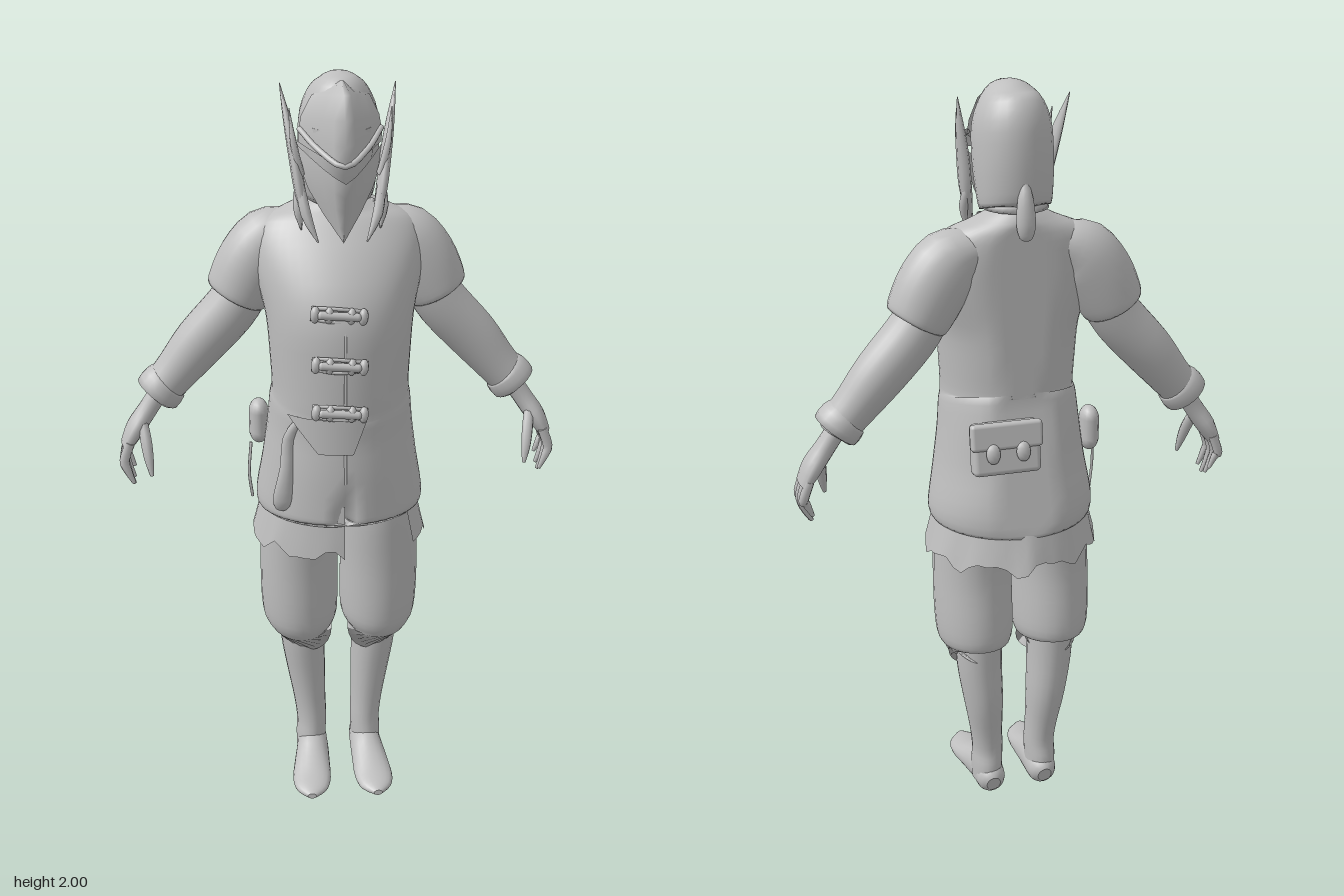
import * as THREE from 'three';
import { RoundedBoxGeometry } from 'three/addons/geometries/RoundedBoxGeometry.js';

const Z = new THREE.Vector3(0, 0, 1), Y = new THREE.Vector3(0, 1, 0);
const V = (x, y, z) => new THREE.Vector3(x, y, z);

// Smooth in-between sections: each is [x, y, z, radiusU, radiusV]
function refine(list, k) {
  const out = [], at = i => list[Math.min(list.length - 1, Math.max(0, i))];
  for (let i = 0; i < list.length - 1; i++) for (let s = 0; s < k; s++) {
    const t = s / k;
    out.push(list[i].map((b, c) => {
      const a = at(i - 1)[c], d = at(i + 1)[c], e = at(i + 2)[c];
      return 0.5 * (2 * b + (d - a) * t + (2 * a - 5 * b + 4 * d - e) * t * t + (3 * b - a - 3 * d + e) * t ** 3);
    }));
  }
  out.push(list[list.length - 1]);
  return out;
}

// Closed skin over elliptical sections that stand square to their path
function loft(list, { n = 20, k = 3, ref = Z, warp } = {}) {
  const secs = refine(list, k), pos = [], idx = [], m = secs.length;
  const centre = secs.map(s => V(s[0], s[1], s[2]));
  secs.forEach((s, i) => {
    const t = centre[Math.min(i + 1, m - 1)].clone().sub(centre[Math.max(i - 1, 0)]).normalize();
    const u = t.clone().cross(ref).normalize(), v = u.clone().cross(t);
    for (let j = 0; j < n; j++) {
      const a = j / n * Math.PI * 2;
      const p = centre[i].clone().addScaledVector(u, Math.cos(a) * Math.max(s[3], 0.001))
        .addScaledVector(v, Math.sin(a) * Math.max(s[4], 0.001));
      if (warp) warp(p);
      pos.push(p.x, p.y, p.z);
      const b = i * n + (j + 1) % n, q = i * n + j;
      if (i < m - 1) idx.push(q, q + n, b, b, q + n, b + n);
    }
  });
  // End caps
  for (const i of [0, m - 1]) {
    const base = pos.length / 3;
    for (let j = 0; j < n; j++) pos.push(...pos.slice((i * n + j) * 3, (i * n + j) * 3 + 3));
    pos.push(centre[i].x, centre[i].y, centre[i].z);
    for (let j = 0; j < n; j++) {
      const a = base + j, b = base + (j + 1) % n;
      idx.push(...(i ? [a, base + n, b] : [a, b, base + n]));
    }
  }
  const g = new THREE.BufferGeometry();
  g.setAttribute('position', new THREE.Float32BufferAttribute(pos, 3));
  g.setIndex(idx);
  g.computeVertexNormals();
  return g;
}

// Ridged plate from rows of [edgeY, ridgeY, halfWidth, edgeZ, ridgeZ]
function ridged(rows) {
  const g = new THREE.PlaneGeometry(2, 1, 8, rows.length - 1), p = g.attributes.position;
  for (let i = 0; i < p.count; i++) {
    const [ye, yr, w, ze, zr] = rows[Math.floor(i / 9)], f = p.getX(i), e = Math.abs(f) ** 1.25;
    p.setXYZ(i, f * w, yr + (ye - yr) * e, zr + (ze - zr) * e);
  }
  g.computeVertexNormals();
  return g;
}

export function createModel() {
  const root = new THREE.Group();
  const grey = new THREE.MeshStandardMaterial({ color: 0xbfbfbf, side: THREE.DoubleSide });
  grey.name = 'plain grey';
  const add = (name, geo, parent = root) => {
    const mesh = new THREE.Mesh(geo, grey);
    mesh.name = name;
    parent.add(mesh);
    return mesh;
  };
  const tube = (pts, r, seg = 16) => new THREE.TubeGeometry(new THREE.CatmullRomCurve3(pts.map(p => V(...p))), seg, r, 8);

  // Coat, flat behind, with a narrow front slit at the hem
  add('coat', loft([
    [0, 0.87, 0.005, 0.2, 0.17], [0, 0.86, 0.005, 0.218, 0.19], [0, 0.9, 0.005, 0.223, 0.195],
    [0, 1.0, 0.015, 0.206, 0.185], [0, 1.1, 0.02, 0.192, 0.175], [0, 1.18, 0.03, 0.184, 0.168],
    [0, 1.21, 0.035, 0.178, 0.161], [0, 1.3, 0.033, 0.182, 0.163], [0, 1.4, 0.027, 0.19, 0.162],
    [0, 1.5, 0, 0.212, 0.138], [0, 1.58, -0.026, 0.215, 0.11], [0, 1.635, -0.042, 0.185, 0.088],
    [0, 1.67, -0.045, 0.11, 0.075], [0, 1.69, -0.045, 0.07, 0.062]], {
    n: 48, warp: p => {
      if (p.z < 0) p.z = Math.max(p.z * 1.05, -0.125 - Math.max(0, 1.2 - p.y) * 0.2);
      if (p.z > 0 && Math.abs(p.x) < 0.01 && p.y < 0.98) p.z -= (0.98 - p.y) * 0.4;
    } }));
  add('collar', tube([[-0.085, 1.675, -0.02], [-0.045, 1.63, 0.05], [0, 1.585, 0.087], [0.045, 1.63, 0.05], [0.085, 1.675, -0.02]], 0.009));
  add('frontSeam', tube([[0, 1.58, 0.084], [0, 1.5, 0.136], [0, 1.4, 0.188], [0, 1.3, 0.195], [0, 1.1, 0.194], [0, 0.99, 0.198]], 0.004));

  // Ragged undershirt hem, open at the front left
  const skirt = new THREE.CylinderGeometry(1, 1, 1, 48, 3, true, 0.95, Math.PI * 2 - 0.95);
  const sp = skirt.attributes.position;
  for (let i = 0; i < sp.count; i++) {
    const x = sp.getX(i), z = sp.getZ(i), f = 0.5 - sp.getY(i), a = Math.atan2(x, z);
    const drop = 0.145 + 0.014 * Math.sin(a * 9) + 0.008 * Math.sin(a * 17 + 1);
    const tail = Math.max(0, 1 - Math.abs(x - 0.09) * 5) * (z < 0 ? 0.018 : 0);
    sp.setXYZ(i, x * (0.2 + 0.035 * f), 0.915 - f * drop, z * (z > 0 ? 0.18 + 0.01 * f : 0.175 + f * (0.035 + tail)));
  }
  skirt.computeVertexNormals();
  add('shirtHem', skirt);

  // Limbs: the left side is built, the right is its mirror image
  for (const side of [1, -1]) {
    const half = new THREE.Group();
    half.name = side > 0 ? 'leftLimbs' : 'rightLimbs';
    half.scale.x = side;
    root.add(half);
    const z = -0.055;
    add('shortSleeve', loft([[0.11, 1.6, z, 0.055, 0.06], [0.17, 1.572, z, 0.085, 0.08], [0.215, 1.515, z, 0.092, 0.086],
      [0.25, 1.45, z, 0.087, 0.085], [0.264, 1.425, z, 0.078, 0.08], [0.262, 1.428, z, 0.06, 0.06]], { n: 24 }), half);
    add('longSleeve', loft([[0.235, 1.45, z, 0.066, 0.072], [0.28, 1.385, -0.056, 0.07, 0.072], [0.36, 1.297, -0.06, 0.068, 0.068],
      [0.42, 1.225, -0.058, 0.059, 0.06], [0.455, 1.185, -0.056, 0.055, 0.057]], { n: 24 }), half);
    add('cuff', loft([[0.447, 1.195, -0.056, 0.054, 0.056], [0.455, 1.187, -0.056, 0.062, 0.063],
      [0.478, 1.158, -0.055, 0.063, 0.063], [0.48, 1.156, -0.055, 0.04, 0.04]], { k: 2 }), half);
    add('palm', loft([[0.465, 1.175, -0.055, 0.026, 0.03], [0.505, 1.115, -0.052, 0.026, 0.032],
      [0.54, 1.065, -0.048, 0.026, 0.047], [0.565, 1.02, -0.046, 0.018, 0.046]], { n: 16 }), half);
    for (let i = 0; i < 4; i++) {
      const fz = -0.083 + i * 0.025, low = [0.03, 0.008, 0, 0.012][i];
      add('finger', loft([[0.555, 1.035, fz, 0.013, 0.012], [0.573, 0.985, fz, 0.013, 0.012],
        [0.566, 0.945 + low, fz + 0.003, 0.011, 0.01], [0.55, 0.908 + low, fz + 0.006, 0.005, 0.005]], { n: 8 }), half);
    }
    add('thumb', loft([[0.52, 1.09, -0.03, 0.013, 0.014], [0.512, 1.04, 0, 0.015, 0.015],
      [0.506, 0.995, 0.02, 0.012, 0.012], [0.5, 0.955, 0.032, 0.005, 0.005]], { n: 8 }), half);

    add('trouserLeg', loft([[0.105, 0.49, -0.025, 0.06, 0.08], [0.108, 0.472, -0.02, 0.08, 0.105], [0.108, 0.5, -0.017, 0.101, 0.126],
      [0.11, 0.57, -0.012, 0.107, 0.13], [0.11, 0.7, -0.003, 0.107, 0.126], [0.105, 0.85, 0, 0.106, 0.135],
      [0.1, 0.95, 0, 0.095, 0.13]], { n: 28 }), half);
    add('bootShaft', loft([[0.08, 0.03, -0.03, 0.042, 0.058], [0.08, 0.08, -0.03, 0.043, 0.06], [0.078, 0.13, -0.03, 0.043, 0.053],
      [0.083, 0.2, -0.035, 0.046, 0.055], [0.092, 0.3, -0.042, 0.055, 0.067], [0.102, 0.41, -0.04, 0.062, 0.075],
      [0.105, 0.52, -0.04, 0.065, 0.08]]), half);
    add('bootFoot', loft([[0.077, 0.035, -0.093, 0.02, 0.025], [0.077, 0.04, -0.07, 0.04, 0.045], [0.078, 0.045, 0, 0.045, 0.055],
      [0.083, 0.034, 0.06, 0.05, 0.042], [0.089, 0.022, 0.13, 0.054, 0.027], [0.092, 0.019, 0.18, 0.043, 0.018],
      [0.094, 0.02, 0.213, 0.012, 0.008]], { ref: Y, warp: p => { p.y = Math.max(0, p.y); } }), half);

    // Long ears with a second spike and hanging strands
    add('ear', loft([[0.085, 1.65, 0.075, 0.008, 0.012], [0.1, 1.72, 0.055, 0.014, 0.034], [0.112, 1.8, 0.03, 0.014, 0.038],
      [0.126, 1.88, 0, 0.01, 0.025], [0.142, 1.965, -0.035, 0.001, 0.002]], { n: 10 }), half);
    add('earSpike', loft([[0.098, 1.76, 0.05, 0.01, 0.02], [0.115, 1.84, 0.06, 0.008, 0.014], [0.124, 1.92, 0.045, 0.001, 0.002]], { n: 8 }), half);
    add('strand', loft([[0.1, 1.74, 0.06, 0.01, 0.016], [0.088, 1.67, 0.09, 0.013, 0.015], [0.06, 1.605, 0.11, 0.002, 0.003]], { n: 8 }), half);
    add('strand', loft([[0.1, 1.74, 0.03, 0.01, 0.014], [0.106, 1.68, 0.055, 0.012, 0.016], [0.098, 1.625, 0.06, 0.002, 0.003]], { n: 8 }), half);
  }

  // Head
  add('neck', loft([[0, 1.6, -0.04, 0.075, 0.07], [0, 1.68, -0.035, 0.06, 0.06], [0, 1.76, -0.02, 0.06, 0.06]]));
  add('face', loft([[0, 1.65, 0.05, 0.03, 0.04], [0, 1.7, 0.03, 0.062, 0.08], [0, 1.8, 0.02, 0.08, 0.115], [0, 1.88, 0.02, 0.085, 0.115]]));
  add('hood', loft([[0, 1.71, -0.045, 0.075, 0.07], [0, 1.695, -0.045, 0.09, 0.083], [0, 1.75, -0.035, 0.098, 0.1], [0, 1.82, -0.022, 0.101, 0.114],
    [0, 1.9, -0.01, 0.096, 0.117], [0, 1.96, 0, 0.071, 0.092], [0, 1.99, 0, 0.038, 0.05], [0, 2, 0, 0.003, 0.003]], { n: 28 }));
  add('visor', ridged([[1.975, 1.99, 0.015, 0.05, 0.08], [1.95, 1.965, 0.07, 0.045, 0.14], [1.9, 1.91, 0.095, 0.035, 0.168],
    [1.86, 1.85, 0.102, 0.035, 0.176], [1.835, 1.805, 0.101, 0.035, 0.178]]));
  add('browRidge', tube([[-0.1, 1.87, 0.04], [-0.06, 1.835, 0.115], [0, 1.805, 0.174], [0.06, 1.835, 0.115], [0.1, 1.87, 0.04]], 0.007));
  add('mask', ridged([[1.825, 1.77, 0.103, 0.02, 0.198], [1.775, 1.73, 0.098, 0.035, 0.182], [1.725, 1.69, 0.08, 0.05, 0.165],
    [1.67, 1.645, 0.045, 0.09, 0.148], [1.615, 1.61, 0.004, 0.132, 0.136]]));
  add('hoodTassel', loft([[0, 1.775, -0.12, 0.008, 0.008], [0, 1.73, -0.13, 0.02, 0.018], [0, 1.67, -0.135, 0.025, 0.022],
    [0, 1.635, -0.137, 0.016, 0.014], [0, 1.628, -0.137, 0.003, 0.003]], { n: 12 }));

  // Toggle fasteners
  for (const [y, z] of [[1.44, 0.178], [1.315, 0.198], [1.19, 0.203]]) {
    const toggle = new THREE.Group();
    toggle.name = 'toggle';
    toggle.position.set(-0.015, y, z);
    toggle.rotation.z = -0.08;
    root.add(toggle);
    add('peg', new THREE.CapsuleGeometry(0.011, 0.09, 4, 10).rotateZ(Math.PI / 2), toggle).position.z = 0.008;
    for (const x of [-0.06, -0.025, 0.03, 0.06]) add('knot', new THREE.SphereGeometry(0.019, 12, 8).scale(0.65, 1.15, 0.75), toggle).position.set(x, 0, 0.003);
    for (const s of [-1, 1]) add('cord', tube([[-0.07, s * 0.014, -0.006], [0, s * 0.017, 0.004], [0.07, s * 0.01, -0.006]], 0.005), toggle);
  }

  // Front flap following the belly
  const flap = new THREE.PlaneGeometry(2, 1, 12, 5), fp = flap.attributes.position;
  for (let i = 0; i < fp.count; i++) {
    const f = 0.5 - fp.getY(i), x = -0.045 + fp.getX(i) * (0.1 - 0.055 * f) + f * 0.02;
    fp.setXYZ(i, x, 1.17 - 0.095 * f, 0.035 + 0.172 * Math.sqrt(1 - (x / 0.19) ** 2));
  }
  flap.computeVertexNormals();
  add('frontFlap', flap);

  // Hip gear
  add('sheath', loft([[-0.165, 0.9, 0.145, 0.014, 0.008], [-0.16, 0.93, 0.15, 0.026, 0.014], [-0.148, 1.02, 0.15, 0.018, 0.013],
    [-0.142, 1.1, 0.143, 0.015, 0.012], [-0.11, 1.16, 0.155, 0.01, 0.01]], { n: 12 }));
  add('flask', new THREE.CapsuleGeometry(0.035, 0.055, 6, 14).scale(0.75, 1, 1)).position.set(-0.212, 1.08, -0.03);
  add('flaskCord', tube([[-0.235, 1.03, 0], [-0.242, 0.95, 0.02], [-0.235, 0.88, 0.02]], 0.004));

  // Back pouch with flap and two hanging buttons
  const pouch = new THREE.Group();
  pouch.name = 'backPouch';
  pouch.position.set(0.06, 1.1, -0.155);
  pouch.rotation.x = 0.15;
  root.add(pouch);
  add('pouchBody', new RoundedBoxGeometry(0.18, 0.135, 0.05, 3, 0.014), pouch);
  add('pouchFlap', new RoundedBoxGeometry(0.19, 0.07, 0.03, 2, 0.01), pouch).position.set(0, 0.035, -0.016);
  for (const x of [-0.04, 0.04]) add('pouchButton', new THREE.SphereGeometry(0.019, 12, 8).scale(1, 1.4, 0.7), pouch).position.set(x, -0.008, -0.03);
  return root;
}
